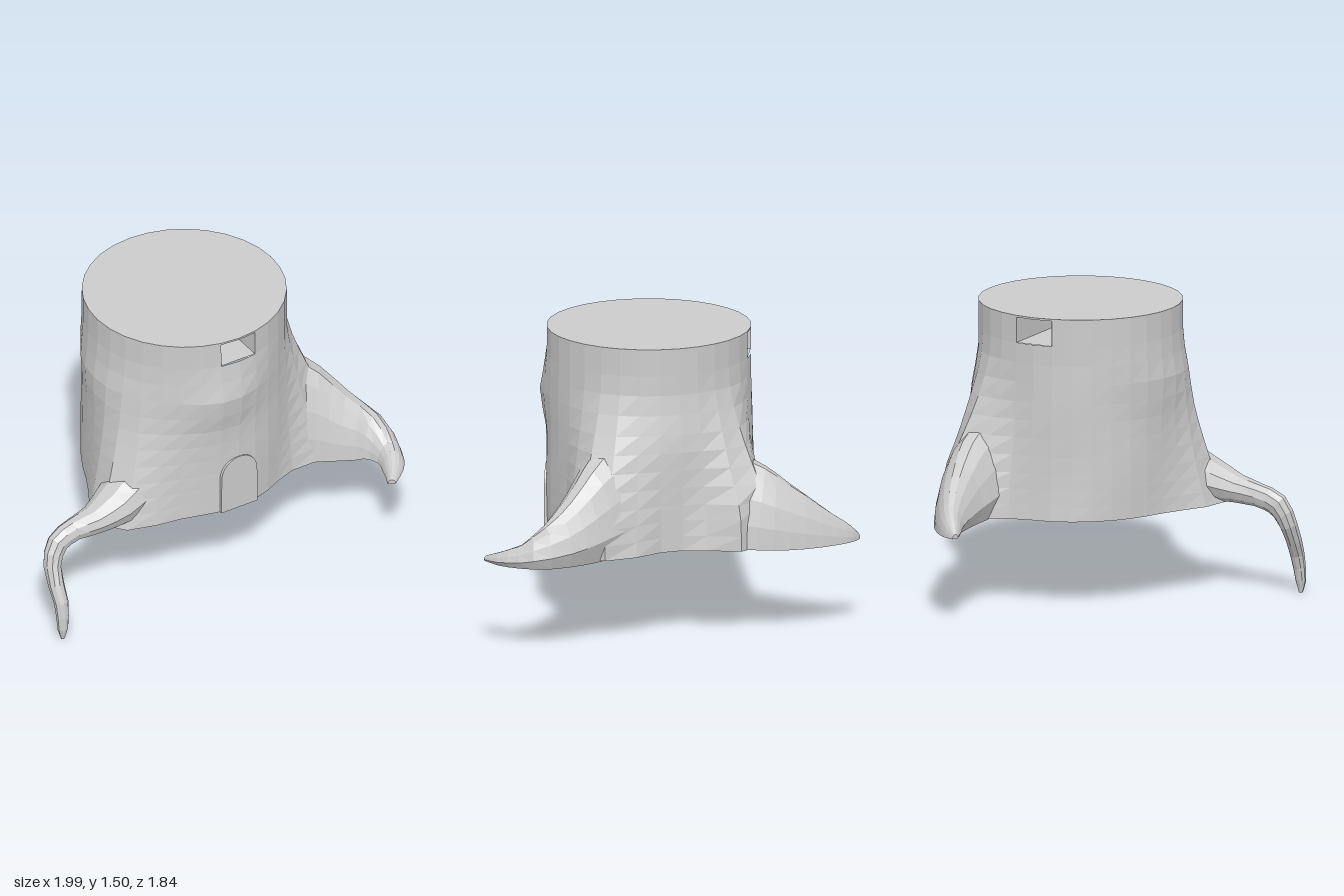
import * as THREE from 'three';

const bark = new THREE.MeshStandardMaterial({ color: 0xcccccc, flatShading: true });
const thin = new THREE.MeshStandardMaterial({ color: 0xcccccc, side: THREE.DoubleSide });
const CX = 0.05, CZ = 0.155, BASE = 0.465, R = 0.515, SIDES = 32;

// Skin a list of closed rings; skip(i, j) leaves a quad open
function loft(name, rings, skip = () => false) {
  const n = rings[0].length, index = [];
  for (let i = 0; i < rings.length - 1; i++) {
    for (let j = 0; j < n; j++) {
      if (skip(i, j)) continue;
      const k = (j + 1) % n;
      const a = i * n + j, b = i * n + k, c = b + n, d = a + n;
      index.push(a, b, c, a, c, d);
    }
  }
  const geo = new THREE.BufferGeometry().setFromPoints(rings.flat());
  geo.setIndex(index);
  geo.computeVertexNormals();
  const mesh = new THREE.Mesh(geo, bark);
  mesh.name = name;
  return mesh;
}

const bell = (angle, centre, width) => {
  const d = Math.atan2(Math.sin(angle - centre), Math.cos(angle - centre));
  return Math.exp(-((d / width) ** 2));
};

// Trunk radius: flares into each root, with a swelling on the front
function trunkRadius(t, y) {
  const flare = Math.max(0, (1.32 - y) / (1.32 - BASE)) ** 1.5;
  const lobes = Math.min(0.22, flare * 0.22 * bell(t, -1.12, 0.38))
    + Math.min(0.25, flare * 0.4 * bell(t, 1.25, 0.31))
    + Math.min(0.19, flare * 0.4 * bell(t, 2.52, 0.28))
    + flare * 0.03 * bell(t, Math.PI, 0.8);
  const shoulder = 0.045 * bell(t, 1.8, 0.45) * THREE.MathUtils.smoothstep(1.3 - y, 0, 0.35);
  const belly = Math.exp(-(((y - 1.15) / 0.13) ** 2));
  const rough = y < 1.3 ? 0.003 * Math.sin(5 * t) * Math.cos(9 * y) : 0;
  return R + lobes + shoulder + rough + belly * (0.04 * bell(t, -0.15, 0.4) + 0.02 * bell(t, -1.6, 0.6));
}

function trunk() {
  const rows = [BASE, 0.54, 0.62, 0.7, 0.79, 0.88, 0.97, 1.06, 1.16, 1.26, 1.36, 1.49, 1.5];
  const ring = (y, scale = 1) => Array.from({ length: SIDES }, (_, j) => {
    const t = (j / SIDES) * Math.PI * 2, r = scale * trunkRadius(t, y);
    return new THREE.Vector3(CX + r * Math.sin(t), y, CZ + r * Math.cos(t));
  });
  const rings = [ring(BASE, 0), ...rows.map(y => ring(y)), ring(1.5, 0)];
  // Window openings in the front and back of the row below the rim
  const windowRow = rows.indexOf(1.36) + 1;
  return loft('trunk', rings, (i, j) => i === windowRow && [0, 15, 16, 31].includes(j));
}

// Passage joining the two window openings
function tunnel() {
  const group = new THREE.Group();
  group.name = 'windowTunnel';
  const w = 0.2, h = 0.13, len = 1.01;
  const wall = (width, x, y, turn) => {
    const mesh = new THREE.Mesh(new THREE.PlaneGeometry(width, len).rotateX(-Math.PI / 2).rotateZ(turn), thin);
    mesh.position.set(x, y, CZ);
    mesh.name = 'tunnelWall';
    group.add(mesh);
  };
  wall(w, CX, 1.36, 0);
  wall(w, CX, 1.49, 0);
  for (const s of [-1, 1]) wall(h, CX + s * w / 2, 1.425, Math.PI / 2);
  return group;
}

// Arched door set in the front
function door() {
  const s = new THREE.Shape();
  s.moveTo(-0.108, BASE);
  s.lineTo(0.108, BASE);
  s.lineTo(0.105, 0.67);
  s.absarc(0, 0.67, 0.105, 0, Math.PI, false);
  s.lineTo(-0.108, BASE);
  const geo = new THREE.ExtrudeGeometry(s, { depth: 0.08, bevelEnabled: false, curveSegments: 8 });
  const mesh = new THREE.Mesh(geo, bark);
  mesh.position.set(CX, 0, 0.594);
  mesh.name = 'door';
  return mesh;
}

// Sweep sections [x, y, z, halfWidth, height]; a fixed side vector gives full
// ellipses, otherwise the root is a flat-bottomed dome, undercut on one side
function root(name, sections, fixedSide) {
  const path = sections.map(([x, y, z]) => new THREE.Vector3(x, y, z));
  const curve = new THREE.CatmullRomCurve3(path);
  const last = sections.length - 1, steps = last * 2;
  const up = new THREE.Vector3(0, 1, 0);
  const rings = [];
  for (let i = 0; i <= steps; i++) {
    const u = i / steps, p = curve.getPoint(u), tan = curve.getTangent(u);
    const k = Math.min(Math.floor(u * last), last - 1), f = u * last - k;
    const mix = c => THREE.MathUtils.lerp(sections[k][c], sections[k + 1][c], f);
    const side = fixedSide ? fixedSide.clone() : up.clone().cross(tan);
    side.addScaledVector(tan, -side.dot(tan)).normalize();
    const rise = tan.clone().cross(side);
    const span = fixedSide ? Math.PI * 2 / 10 : Math.PI / 9;
    rings.push(Array.from({ length: 10 }, (_, j) => {
      const a = j * span, s = Math.sin(a);
      const lift = fixedSide ? s : Math.max(0, s) ** 1.15;
      const across = Math.cos(a) * (!fixedSide && j === 0 ? 0.7 : 1);
      return p.clone().addScaledVector(side, mix(3) * across).addScaledVector(rise, mix(4) * lift);
    }));
  }
  rings.push(rings[steps].map(() => path[last].clone()));
  return loft(name, rings);
}

export function createModel() {
  const model = new THREE.Group();
  model.name = 'treeStump';
  model.add(trunk(), tunnel(), door());

  // Thin root that reaches out and hangs down
  model.add(root('hangingRoot', [
    [-0.22, 0.66, 0.34, 0.14, 0.18], [-0.42, 0.61, 0.41, 0.14, 0.14],
    [-0.55, 0.57, 0.445, 0.125, 0.105], [-0.68, 0.535, 0.46, 0.085, 0.072],
    [-0.8, 0.515, 0.455, 0.058, 0.06], [-0.9, 0.475, 0.465, 0.05, 0.06],
    [-0.95, 0.37, 0.495, 0.048, 0.045], [-0.953, 0.2, 0.585, 0.034, 0.038],
    [-0.96, 0.06, 0.61, 0.022, 0.028], [-0.96, 0, 0.61, 0.008, 0.01],
  ], new THREE.Vector3(0, 0, 1)));

  // Heavy root that curls forward
  const y = 0.455;
  model.add(root('curledRoot', [
    [0.33, 0.48, 0.25, 0.26, 0.56], [0.54, 0.47, 0.31, 0.23, 0.54],
    [0.68, 0.46, 0.39, 0.185, 0.45], [0.8, y, 0.49, 0.15, 0.32],
    [0.9, y, 0.6, 0.105, 0.21], [0.915, y, 0.72, 0.07, 0.11],
    [0.875, y, 0.82, 0.055, 0.065], [0.81, y, 0.905, 0.022, 0.025],
  ]));

  // Ridged root that points backward
  model.add(root('backRoot', [
    [0.3, 0.48, -0.12, 0.2, 0.46], [0.36, 0.47, -0.36, 0.18, 0.43],
    [0.36, 0.46, -0.5, 0.155, 0.36], [0.335, y, -0.65, 0.115, 0.26],
    [0.285, y, -0.8, 0.07, 0.14], [0.235, y, -0.875, 0.045, 0.075],
    [0.2, y, -0.915, 0.015, 0.025],
  ]));
  return model;
}
